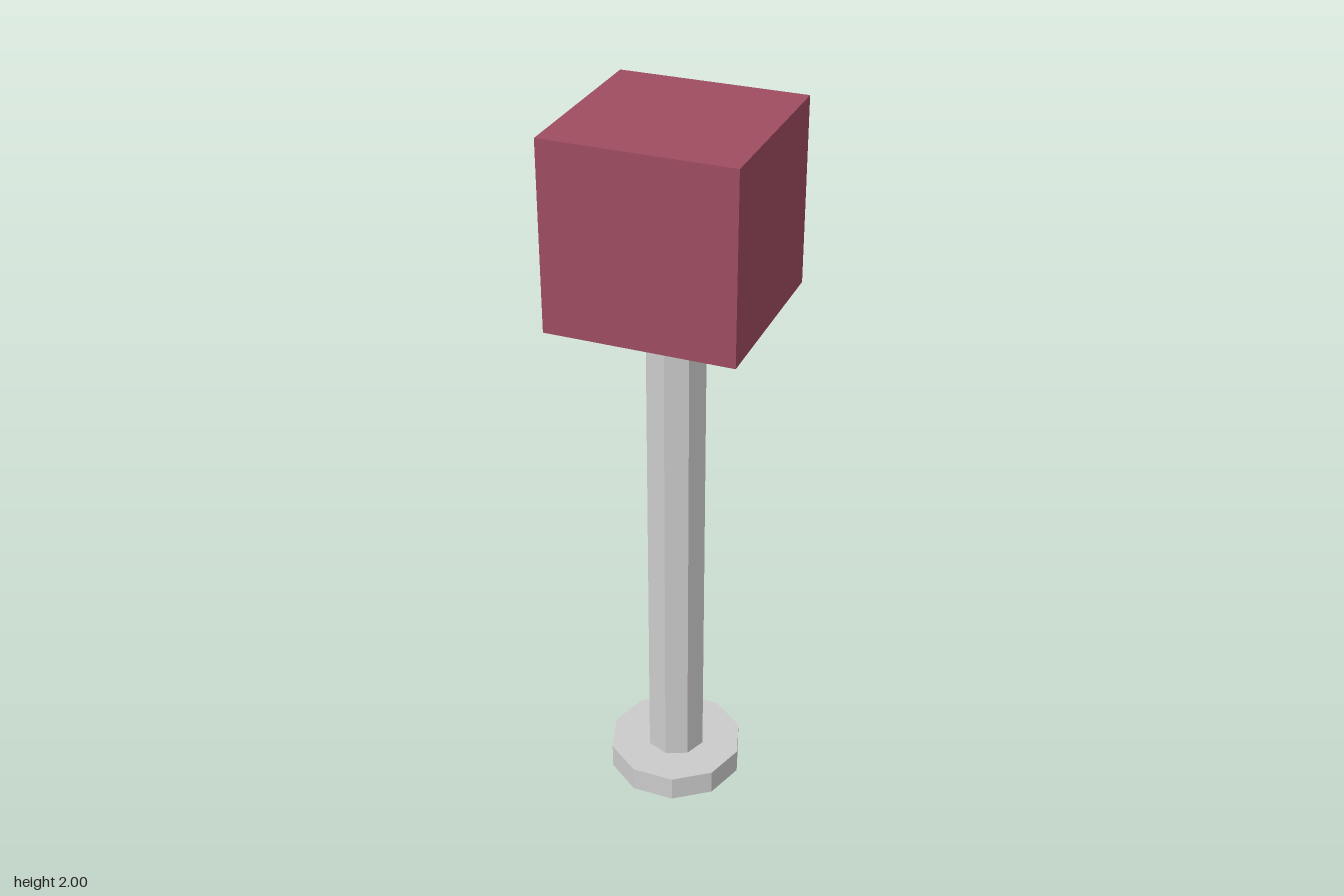
import * as THREE from 'three';

export function createModel() {
  const model = new THREE.Group();
  const grey = new THREE.MeshStandardMaterial({ color: 0xcccccc, flatShading: true });
  const red = new THREE.MeshStandardMaterial({ color: 0x9e4d60 });

  const add = (name, geometry, material, bottom, height) => {
    const mesh = new THREE.Mesh(geometry, material);
    mesh.name = name;
    mesh.position.y = bottom + height / 2;
    model.add(mesh);
    return mesh;
  };

  // Ten-sided foot with a flat facing the front
  const foot = add('base', new THREE.CylinderGeometry(0.193, 0.193, 0.073, 10), grey, 0, 0.073);
  foot.rotation.y = Math.PI / 10;

  // Eight-sided post with a corner facing the front
  add('post', new THREE.CylinderGeometry(0.084, 0.084, 1.375, 8), grey, 0.07, 1.375);

  // Cube floating just above the post
  const size = 0.505;
  add('cube', new THREE.BoxGeometry(size, size, size), red, 2 - size, size);

  return model;
}
